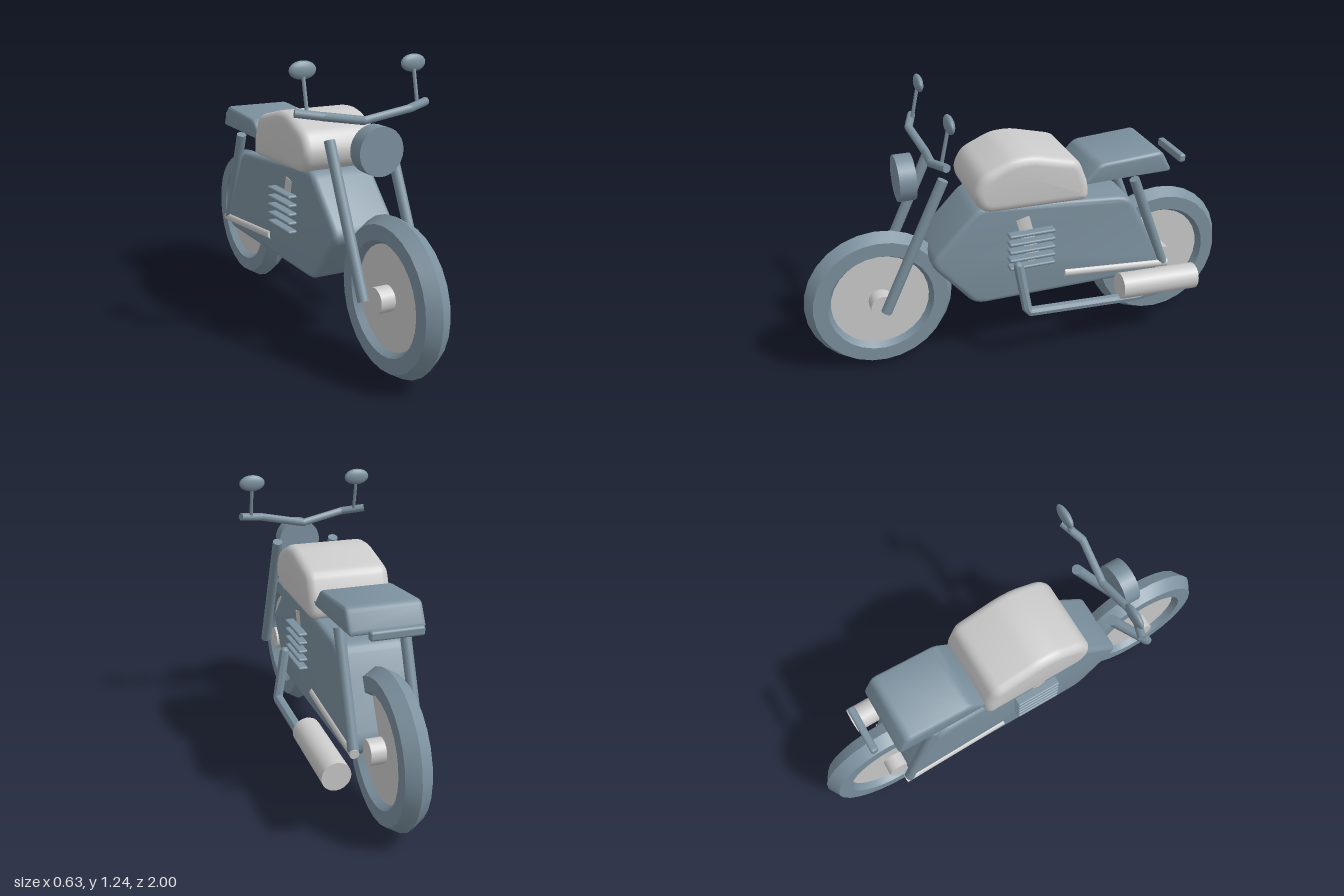
import * as THREE from 'three';
import { toCreasedNormals } from 'three/addons/utils/BufferGeometryUtils.js';
import { RoundedBoxGeometry } from 'three/addons/geometries/RoundedBoxGeometry.js';

const grey = new THREE.MeshStandardMaterial({ color: 0xcccccc });
const blue = new THREE.MeshStandardMaterial({ color: 0x7c919f });
const V = (x, y, z) => new THREE.Vector3(x, y, z);

export function createModel() {
  const model = new THREE.Group();

  function add(name, geometry, material, x = 0, y = 0, z = 0, parent = model) {
    const mesh = new THREE.Mesh(geometry, material);
    mesh.name = name;
    mesh.position.set(x, y, z);
    parent.add(mesh);
    return mesh;
  }

  // Straight round bar between two points
  function rod(name, a, b, radius, material, sides = 16) {
    const dir = b.clone().sub(a);
    const mesh = add(name, new THREE.CylinderGeometry(radius, radius, dir.length(), sides), material);
    mesh.position.copy(a).add(b).multiplyScalar(0.5);
    mesh.quaternion.setFromUnitVectors(V(0, 1, 0), dir.normalize());
    return mesh;
  }

  // Side profile of [z, y] corners, rounded, extruded across x with a soft bevel
  function slab(name, corners, halfWidth, bevel, round, material) {
    const pts = corners.map(([z, y]) => new THREE.Vector2(z, y));
    const shape = new THREE.Shape();
    pts.forEach((p, i) => {
      const toward = (q) => p.clone().lerp(q, Math.min(0.45, round / p.distanceTo(q)));
      const a = toward(pts[(i + pts.length - 1) % pts.length]);
      const b = toward(pts[(i + 1) % pts.length]);
      if (i) shape.lineTo(a.x, a.y);
      else shape.moveTo(a.x, a.y);
      shape.quadraticCurveTo(p.x, p.y, b.x, b.y);
    });
    shape.closePath();
    const depth = 2 * (halfWidth - bevel);
    const geo = new THREE.ExtrudeGeometry(shape, {
      depth, curveSegments: 4, bevelEnabled: true, bevelThickness: bevel,
      bevelSize: bevel, bevelOffset: -bevel, bevelSegments: 4,
    });
    geo.translate(0, 0, -depth / 2).rotateY(-Math.PI / 2);
    return add(name, toCreasedNormals(geo, 0.6), material);
  }

  // Wheels: hexagonal tyre section, solid disc and hub
  for (const [name, z] of [['frontWheel', 0.67], ['rearWheel', -0.67]]) {
    const wheel = new THREE.Group();
    wheel.name = name;
    wheel.position.set(0, 0.33, z);
    const tyre = toCreasedNormals(new THREE.TorusGeometry(0.2665, 0.0635, 6, 28).rotateY(Math.PI / 2), 0.6);
    add('tyre', tyre, blue, 0, 0, 0, wheel);
    add('wheelDisc', new THREE.CylinderGeometry(0.225, 0.225, 0.05, 28).rotateZ(Math.PI / 2), grey, 0, 0, 0, wheel);
    add('hub', new THREE.CylinderGeometry(0.054, 0.054, 0.18, 20).rotateZ(Math.PI / 2), grey, 0, 0, 0, wheel);
    model.add(wheel);
  }

  // Frame body, tank and seat
  slab('body', [[0.47, 0.53], [0.24, 0.77], [-0.46, 0.71], [-0.5, 0.64], [-0.645, 0.35],
    [-0.62, 0.29], [0.27, 0.29]], 0.148, 0.024, 0.05, blue);
  slab('tank', [[0.275, 0.85], [0.235, 0.925], [0.1, 0.985], [0.01, 0.988], [-0.2, 0.935],
    [-0.245, 0.82], [-0.248, 0.74], [0.22, 0.75], [0.262, 0.79]], 0.185, 0.038, 0.035, grey);
  slab('seat', [[-0.215, 0.808], [-0.3, 0.895], [-0.6, 0.915], [-0.655, 0.81]], 0.16, 0.018, 0.025, blue);

  // Engine cylinder showing through the body sides, with cooling fins
  rod('engineCylinder', V(0, 0.475, -0.005), V(0, 0.69, 0.05), 0.152, grey, 24);
  for (let i = 0; i < 5; i++) {
    add('coolingFin', new RoundedBoxGeometry(0.375, 0.015, 0.212, 2, 0.007), blue, 0, 0.465 + i * 0.0395, 0.015);
  }

  // Paired parts
  for (const s of [1, -1]) {
    rod('frontFork', V(s * 0.138, 0.92, 0.392), V(s * 0.138, 0.335, 0.667), 0.023, blue);
    rod('rearShock', V(s * 0.138, 0.79, -0.478), V(s * 0.138, 0.335, -0.65), 0.023, blue);
    rod('swingArm', V(s * 0.14, 0.375, -0.15), V(s * 0.14, 0.33, -0.67), 0.02, grey);
    rod('mirrorStalk', V(s * 0.255, 1.04, 0.425), V(s * 0.255, 1.19, 0.392), 0.008, blue, 8);
    add('mirror', new THREE.SphereGeometry(1, 16, 10).scale(0.06, 0.037, 0.019), blue, s * 0.255, 1.207, 0.387);
  }

  // Handlebar: straight joined segments
  const bar = [V(-0.305, 1.048, 0.415), V(-0.2, 1.032, 0.452), V(0, 0.995, 0.428),
    V(0.2, 1.032, 0.452), V(0.305, 1.048, 0.415)];
  const jointed = (points) => {
    const path = new THREE.CurvePath();
    points.slice(1).forEach((p, i) => path.add(new THREE.LineCurve3(points[i], p)));
    return path;
  };
  bar.slice(1).forEach((p, i) => rod('handlebar', bar[i], p, 0.018, blue, 8));
  bar.slice(1, -1).forEach((p) => add('handlebarJoint', new THREE.SphereGeometry(0.018, 8, 6), blue, p.x, p.y, p.z));

  // Lights
  add('headlight', new THREE.CylinderGeometry(0.1, 0.1, 0.073, 28).rotateX(Math.PI / 2), blue, 0, 0.893, 0.527);
  add('tailLight', new RoundedBoxGeometry(0.22, 0.038, 0.032, 2, 0.01), blue, 0, 0.84, -0.73);

  // Exhaust on the left side only
  const pipe = [V(0.2, 0.49, 0.088), V(0.245, 0.272, 0.06), V(0.24, 0.24, -0.47), V(0.245, 0.265, -0.64)];
  const pipeGeo = new THREE.TubeGeometry(jointed(pipe), 40, 0.023, 8);
  add('exhaustPipe', toCreasedNormals(pipeGeo, 0.5), blue);
  add('exhaustPipeTop', new THREE.SphereGeometry(0.022, 8, 6), blue, 0.2, 0.485, 0.088);
  rod('muffler', V(0.245, 0.315, -0.382), V(0.245, 0.298, -0.757), 0.06, grey, 24);

  return model;
}
